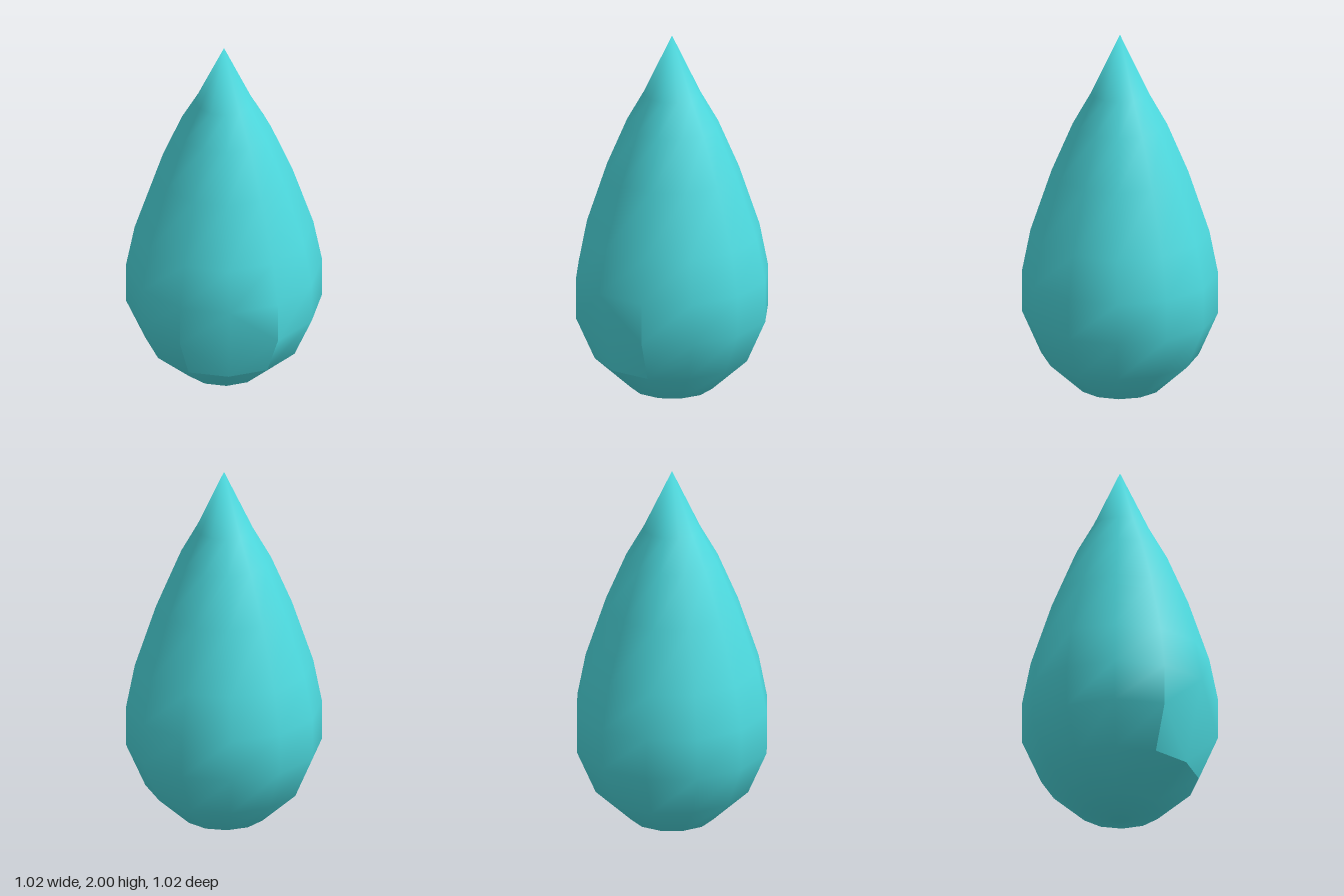
import * as THREE from 'three';

const SIDES = 12;
// Rings of the drop from bottom to top: [radius, height]
const RINGS = [[0.22, 0.065], [0.41, 0.24], [0.51, 0.47], [0.51, 0.69], [0.465, 0.92],
  [0.355, 1.25], [0.245, 1.51], [0.15, 1.68]];

function dropGeometry() {
  const positions = [];
  const index = [];
  const at = (ring, side) => ring * SIDES + (side + SIDES) % SIDES;
  const addPoint = (ring, side) => {
    const [r, y] = RINGS[ring];
    const a = (side / SIDES) * Math.PI * 2;
    positions.push(r * Math.sin(a), y, r * Math.cos(a));
    return positions.length / 3 - 1;
  };

  for (let i = 0; i < RINGS.length; i++) {
    for (let j = 0; j < SIDES; j++) addPoint(i, j);
  }
  const top = positions.length / 3;
  positions.push(0, 2, 0);
  const bottom = top + 1;
  positions.push(0, 0, 0);

  // Shell, leaving room for the front panel
  const last = RINGS.length - 1;
  for (let j = 0; j < SIDES; j++) {
    index.push(bottom, at(0, j + 1), at(0, j));
    index.push(at(last, j), at(last, j + 1), top);
    for (let i = 0; i < last; i++) {
      if ((i === 1 || i === 2) && (j === 0 || j === SIDES - 1)) continue;
      const a = at(i, j), b = at(i, j + 1), c = at(i + 1, j + 1), d = at(i + 1, j);
      index.push(a, b, c, a, c, d);
    }
  }

  // Flatter front panel: blends in at its top, creased at its sides and bottom
  const low = addPoint(1, 0);
  for (const s of [1, -1]) {
    const lowSide = addPoint(1, s);
    const midSide = addPoint(2, s);
    const high = at(3, 0);
    const tris = [[high, midSide, at(3, s)], [high, low, midSide], [low, lowSide, midSide]];
    for (const t of tris) index.push(...(s > 0 ? t : t.reverse()));
  }

  const geometry = new THREE.BufferGeometry();
  geometry.setAttribute('position', new THREE.Float32BufferAttribute(positions, 3));
  geometry.setIndex(index);
  geometry.computeVertexNormals();
  return geometry;
}

export function createModel() {
  const group = new THREE.Group();
  group.name = 'waterDrop';
  const drop = new THREE.Mesh(dropGeometry(), new THREE.MeshStandardMaterial({ color: 0x4ddbe0 }));
  drop.name = 'dropBody';
  group.add(drop);
  return group;
}
